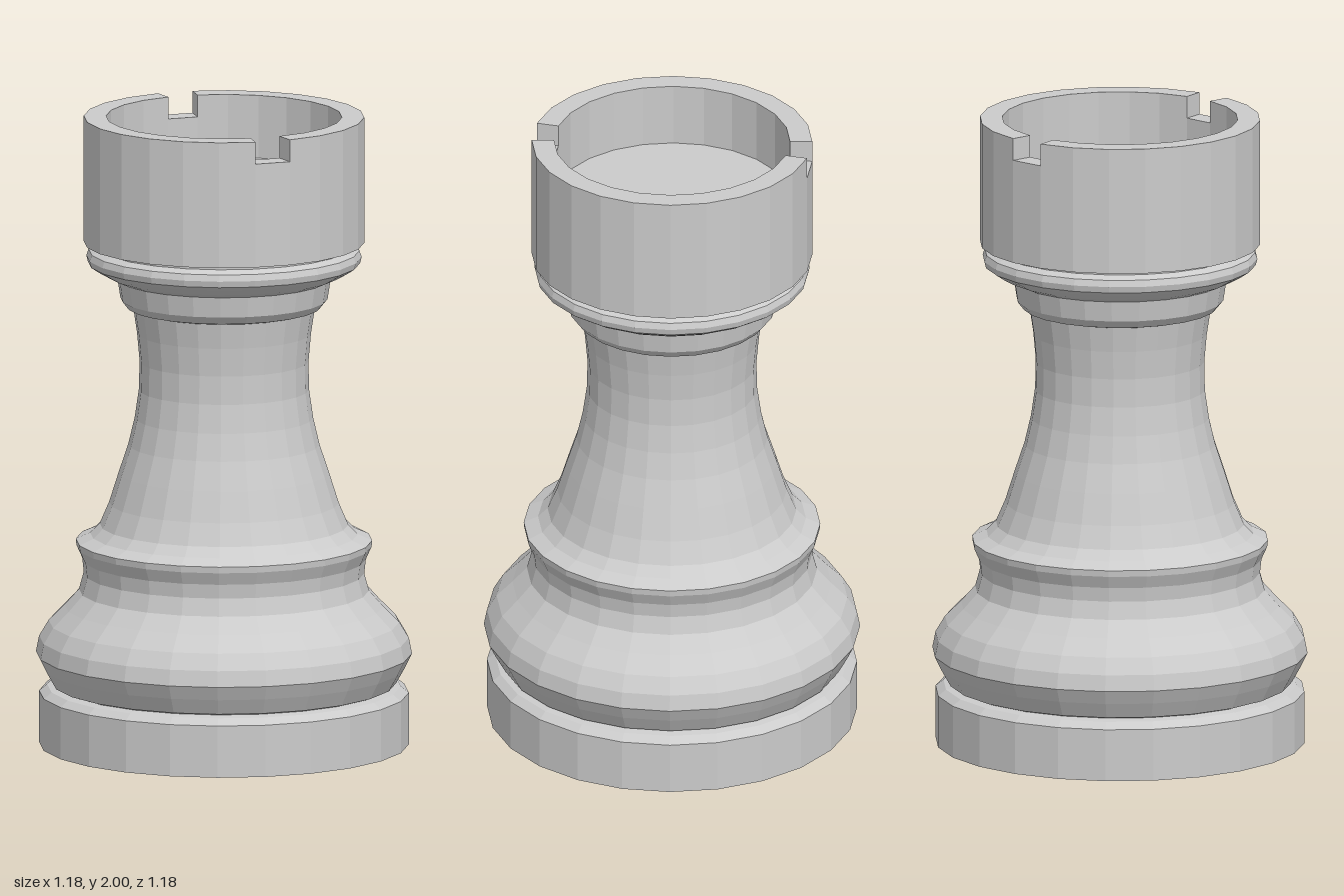
import * as THREE from 'three';

const SIDES = 24;
const STEP = (Math.PI * 2) / SIDES;
const material = new THREE.MeshStandardMaterial({ color: 0xcccccc, flatShading: true });
const wallMaterial = new THREE.MeshStandardMaterial({ color: 0xcccccc, flatShading: true, side: THREE.DoubleSide });

// Faceted turned part; start and count are in facets
function turned(name, profile, start = 0, count = SIDES) {
  const points = profile.map(([r, y]) => new THREE.Vector2(r, y));
  const geometry = new THREE.LatheGeometry(points, count, start * STEP, count * STEP).toNonIndexed();
  geometry.computeVertexNormals();
  const mesh = new THREE.Mesh(geometry, material);
  mesh.name = name;
  return mesh;
}

export function createModel() {
  const model = new THREE.Group();
  model.name = 'chessRook';

  // Foot disc
  model.add(turned('foot', [[0, 0], [0.58, 0], [0.58, 0.165], [0.555, 0.185], [0.525, 0.19]]));

  // Rounded base with its waist and ridge
  model.add(turned('base', [
    [0.525, 0.19], [0.54, 0.195], [0.568, 0.245], [0.59, 0.29], [0.58, 0.34], [0.55, 0.39],
    [0.5, 0.44], [0.455, 0.49], [0.44, 0.545], [0.445, 0.59], [0.463, 0.63], [0.465, 0.65],
  ]));

  // Flared stem
  model.add(turned('stem', [
    [0.465, 0.65], [0.42, 0.67], [0.39, 0.7], [0.36, 0.77], [0.33, 0.865], [0.3, 0.955],
    [0.28, 1.04], [0.267, 1.13], [0.265, 1.22], [0.273, 1.31], [0.285, 1.39],
  ]));

  // Collar below the turret, ending on the turret underside
  model.add(turned('collar', [
    [0.285, 1.39], [0.305, 1.395], [0.325, 1.42], [0.335, 1.485], [0.37, 1.5], [0.405, 1.52],
    [0.427, 1.535], [0.432, 1.555], [0.425, 1.575], [0.4, 1.587], [0.4, 1.6], [0.44, 1.6],
  ]));

  // Hollow turret: two tall wall arcs alternating with two low notches
  const outer = 0.44, inner = 0.37, rim = 2, sill = 1.93, floor = 1.8;
  const turret = new THREE.Group();
  turret.name = 'turret';
  for (const notch of [3, 15]) {
    const arc = (top) => [[outer, 1.6], [outer, top], [inner, top], [inner, floor], [0, floor]];
    turret.add(turned('notch', arc(sill), notch, 1));
    turret.add(turned('turretWall', arc(rim), notch + 1, 11));

    // Upright cheeks of the notch
    for (const edge of [notch, notch + 1]) {
      const phi = edge * STEP, mid = (outer + inner) / 2;
      const cheek = new THREE.Mesh(new THREE.PlaneGeometry(outer - inner, rim - sill), wallMaterial);
      cheek.position.set(Math.sin(phi) * mid, (rim + sill) / 2, Math.cos(phi) * mid);
      cheek.rotation.y = phi - Math.PI / 2;
      cheek.name = 'notchCheek';
      turret.add(cheek);
    }
  }
  model.add(turret);
  return model;
}
